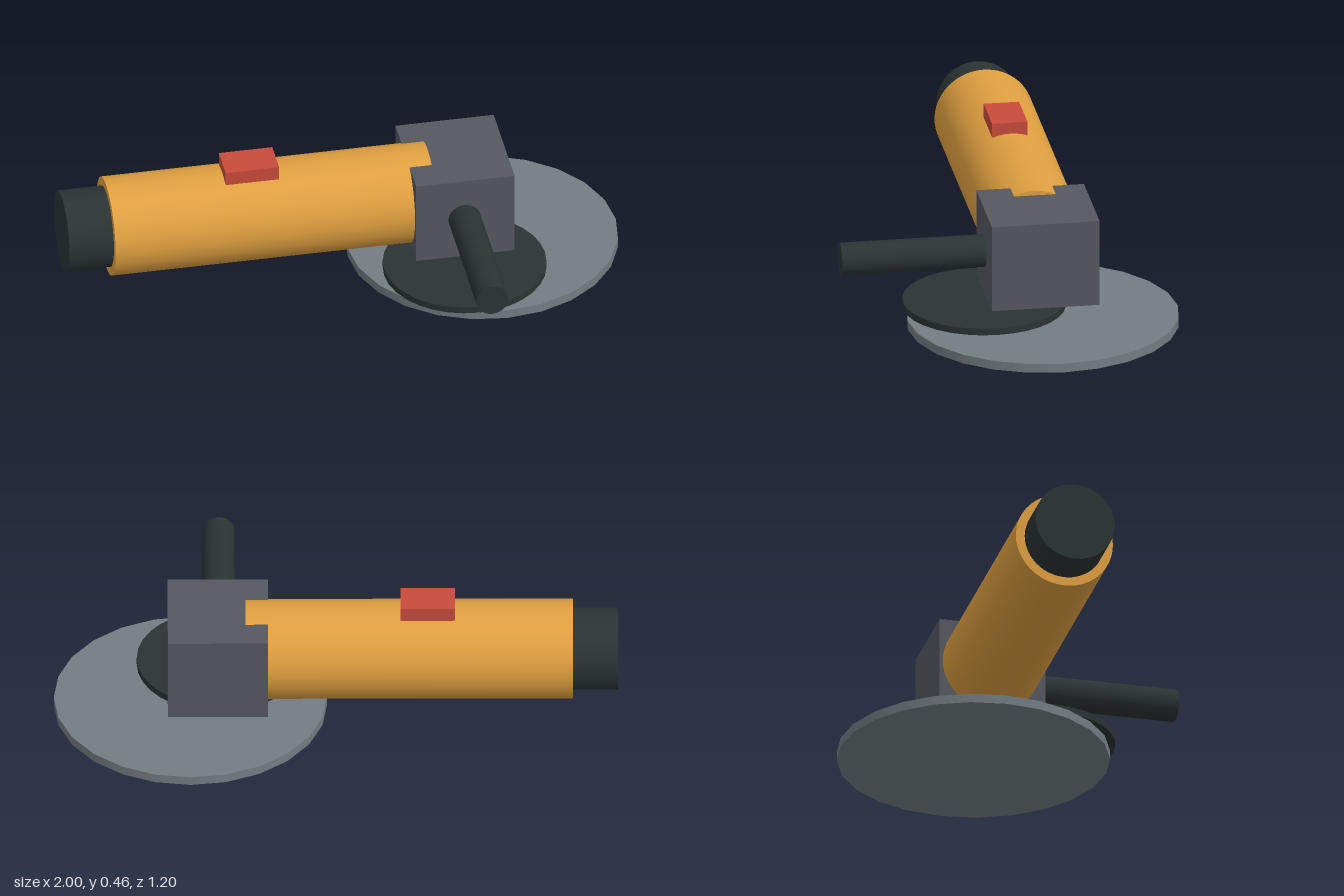
import * as THREE from 'three';

const mat = (name, color) => {
  const m = new THREE.MeshStandardMaterial({ color });
  m.name = name;
  return m;
};

export function createModel() {
  const orange = mat('orange housing', 0xe0a040);
  const black = mat('black rubber', 0x2b3333);
  const grey = mat('gearbox grey', 0x555860);
  const steel = mat('disc steel', 0x737c82);
  const red = mat('switch red', 0xc84b3b);

  const model = new THREE.Group();
  model.name = 'angleGrinder';
  const AXIS_Y = 0.245, AXIS_Z = -0.117;

  const add = (name, geometry, material, x, y, z) => {
    const mesh = new THREE.Mesh(geometry, material);
    mesh.name = name;
    mesh.position.set(x, y, z);
    model.add(mesh);
  };
  const rod = (r, length, sides = 32) => new THREE.CylinderGeometry(r, r, length, sides);

  // Motor housing and rear cap, lying along x
  add('motorHousing', rod(0.177, 1.16, 48).rotateZ(Math.PI / 2), orange, -0.26, AXIS_Y, AXIS_Z);
  add('rearCap', rod(0.145, 0.18).rotateZ(Math.PI / 2), black, -0.91, AXIS_Y, AXIS_Z);

  // Gearbox and power switch
  add('gearHead', new THREE.BoxGeometry(0.355, 0.32, 0.386), grey, 0.418, AXIS_Y, -0.113);
  add('powerSwitch', new THREE.BoxGeometry(0.193, 0.052, 0.127), red, -0.325, 0.437, -0.114);

  // Side handle pointing to the front
  add('sideHandle', rod(0.058, 0.54).rotateX(Math.PI / 2), black, 0.415, AXIS_Y, 0.327);

  // Guard plate above the grinding disc
  add('guardPlate', rod(0.29, 0.025), black, 0.415, 0.05, 0.08);
  add('grindingDisc', rod(0.484, 0.033, 24), steel, 0.515, 0.0165, -0.115);

  return model;
}
